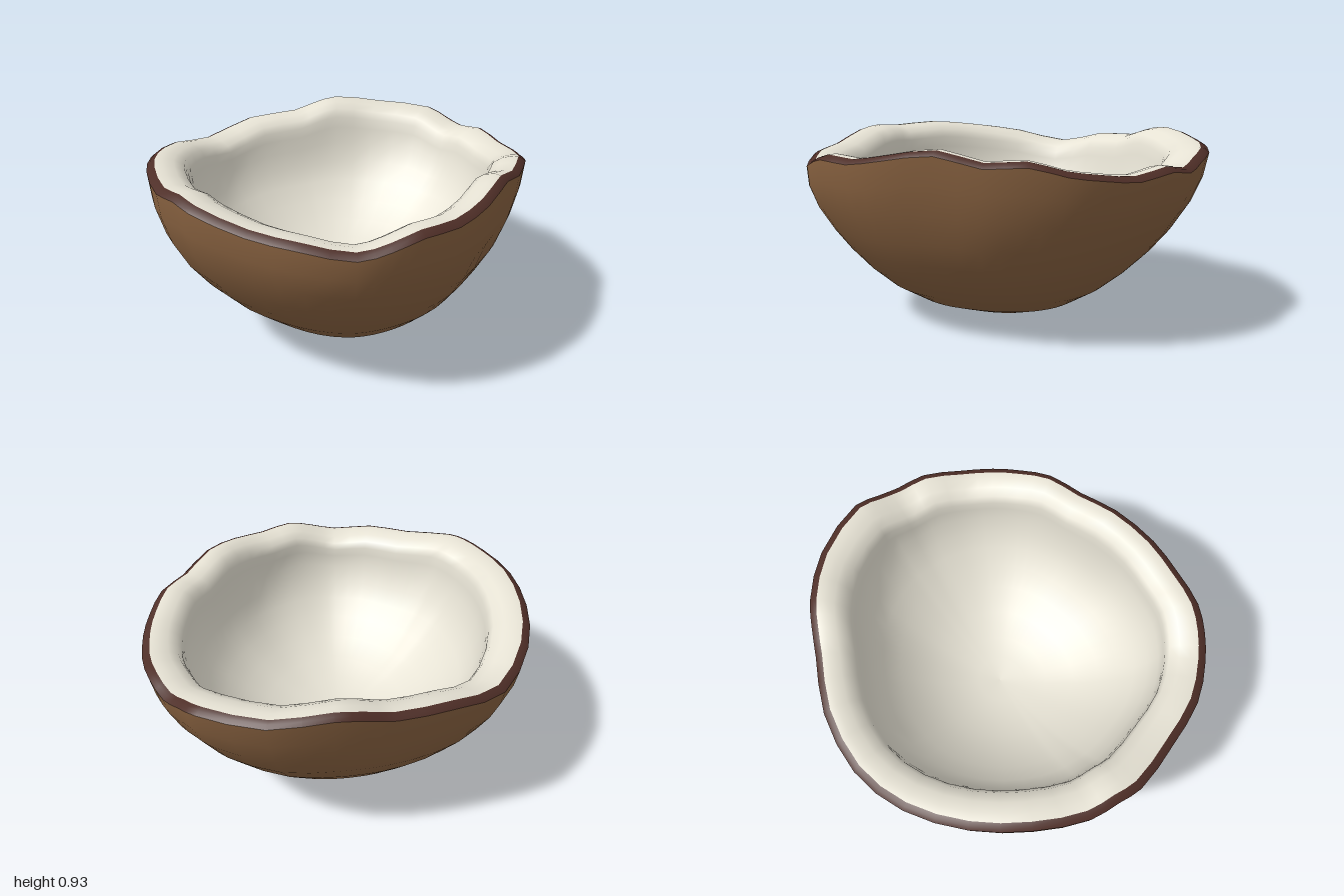
import * as THREE from 'three';

// Rim outline, clockwise from above: x, z and height of the broken edge
const rimPoints = [
  [1.0, -0.03, 0.88], [0.985, 0.10, 0.845], [0.965, 0.22, 0.815], [0.92, 0.36, 0.835], [0.82, 0.53, 0.81],
  [0.70, 0.66, 0.825], [0.58, 0.75, 0.845], [0.43, 0.82, 0.885], [0.25, 0.865, 0.875],
  [0.04, 0.895, 0.92], [-0.2, 0.918, 0.89], [-0.4, 0.89, 0.86], [-0.58, 0.83, 0.865],
  [-0.70, 0.755, 0.83], [-0.80, 0.655, 0.80], [-0.91, 0.46, 0.83], [-0.965, 0.22, 0.845],
  [-1.0, -0.05, 0.895], [-0.975, -0.17, 0.91], [-0.94, -0.31, 0.90], [-0.80, -0.53, 0.91],
  [-0.60, -0.73, 0.885], [-0.33, -0.88, 0.845], [-0.03, -0.925, 0.79], [0.26, -0.85, 0.85],
  [0.5, -0.70, 0.865], [0.61, -0.625, 0.90], [0.72, -0.54, 0.925], [0.90, -0.33, 0.895],
].map(([x, z, y]) => new THREE.Vector3(x, y, z));

const SEGMENTS = rimPoints.length * 2;
const MEAN_RIM = 0.86;
const rim = new THREE.CatmullRomCurve3(rimPoints, true).getPoints(SEGMENTS).slice(0, SEGMENTS);

// Loft of rings [scale, height, follow]; follow blends a circle into the rim outline,
// and the lower half swells a little towards the front
function loft(rows) {
  const positions = [], index = [];
  rows.forEach(([scale, height, follow], r) => {
    const swell = 0.05 * Math.sin(Math.PI * scale) ** 2;
    for (let i = 0; i < SEGMENTS; i++) {
      const p = rim[i], radius = Math.hypot(p.x, p.z);
      const k = THREE.MathUtils.lerp(0.95 / radius, 1, Math.min(1, 0.4 + follow)) * scale
        + swell * THREE.MathUtils.smoothstep(p.z / radius, -0.2, 0.8);
      const loose = 1 - follow;
      positions.push(p.x * k - 0.03 * loose, height + follow * (p.y - MEAN_RIM), p.z * k + 0.02 * loose);
      if (r === rows.length - 1) continue;
      const a = r * SEGMENTS + i, b = r * SEGMENTS + (i + 1) % SEGMENTS;
      const c = a + SEGMENTS, d = b + SEGMENTS;
      if (scale > 0) index.push(a, c, b);
      if (rows[r + 1][0] > 0) index.push(b, c, d);
    }
  });
  const geometry = new THREE.BufferGeometry();
  geometry.setAttribute('position', new THREE.Float32BufferAttribute(positions, 3));
  geometry.setIndex(index);
  geometry.computeVertexNormals();
  return geometry;
}

export function createModel() {
  const material = (name, color) => {
    const m = new THREE.MeshStandardMaterial({ color });
    m.name = name;
    return m;
  };
  const group = new THREE.Group();
  group.name = 'halfNutShell';
  const add = (name, rows, mat) => {
    const mesh = new THREE.Mesh(loft(rows), mat);
    mesh.name = name;
    group.add(mesh);
  };

  // Rounded brown husk, from the base up to the broken edge
  add('outerShell', [
    [0, 0, 0], [0.14, 0.008, 0], [0.28, 0.036, 0], [0.43, 0.095, 0.02], [0.57, 0.178, 0.05],
    [0.69, 0.272, 0.1], [0.79, 0.372, 0.2], [0.875, 0.48, 0.3], [0.945, 0.61, 0.5],
    [0.985, 0.73, 0.75], [1, 0.838, 1],
  ], material('huskBrown', 0x8a6341));

  // Dark broken edge of the shell
  add('shellEdge', [[1, 0.838, 1], [0.982, 0.853, 1], [0.96, 0.86, 1]], material('edgeBrown', 0x4e2e27));

  // Pale flesh: flat rim, rounded lip and hollow bowl of even thickness
  add('flesh', [
    [0.96, 0.86, 1], [0.92, 0.862, 1], [0.865, 0.85, 1], [0.815, 0.825, 0.95], [0.795, 0.785, 0.85],
    [0.79, 0.735, 0.7], [0.775, 0.66, 0.55], [0.737, 0.561, 0.35], [0.675, 0.474, 0.2],
    [0.586, 0.388, 0.1], [0.484, 0.307, 0.05], [0.365, 0.237, 0.02], [0.24, 0.19, 0],
    [0.13, 0.166, 0], [0, 0.157, 0],
  ], material('fleshWhite', 0xe6e2d4));

  return group;
}
